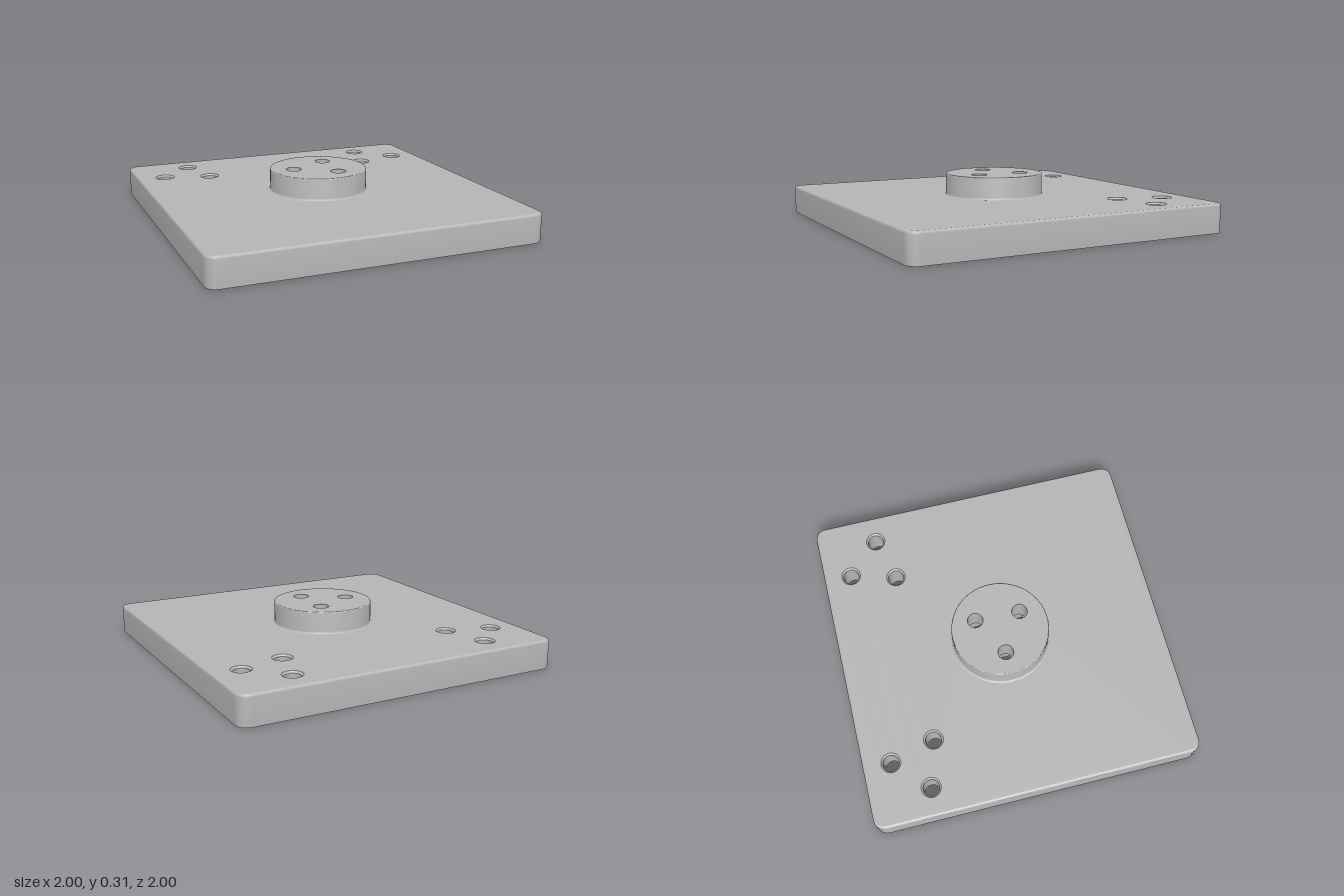
import * as THREE from 'three';
import { toCreasedNormals } from 'three/addons/utils/BufferGeometryUtils.js';

const PLATE_TOP = 0.175, HUB_TOP = 0.31, POCKET_TOP = 0.14;
const FILLET = 0.015, HUB_R = 0.3, FLARE = 0.013, HUB_EDGE = 0.006;

// Plan outlines run counterclockwise seen from above, with v = -z.
function circle(u, v, r, n = 28, turn = 0) {
  return Array.from({ length: n }, (_, i) => {
    const a = turn + (i / n) * Math.PI * 2;
    return new THREE.Vector2(u + r * Math.cos(a), v + r * Math.sin(a));
  });
}

function roundedSquare(inset) {
  const pts = [], r = 0.065 - inset, c = 0.935, steps = 8;
  [[1, 1], [-1, 1], [-1, -1], [1, -1]].forEach(([su, sv], k) => {
    for (let i = 0; i <= steps; i++) {
      const a = (k + i / steps) * Math.PI / 2;
      pts.push(new THREE.Vector2(su * c + r * Math.cos(a), sv * c + r * Math.sin(a)));
    }
  });
  return pts;
}

// Wall through [height, outline] rings: upward faces out, downward faces in.
function wall(rings) {
  const pos = [], idx = [], n = rings[0][1].length;
  for (const [y, pts] of rings) for (const p of pts) pos.push(p.x, y, -p.y);
  for (let i = 0; i < rings.length - 1; i++) {
    for (let j = 0; j < n; j++) {
      const a = i * n + j, b = i * n + (j + 1) % n;
      idx.push(a, b, b + n, a, b + n, a + n);
    }
  }
  const g = new THREE.BufferGeometry();
  g.setAttribute('position', new THREE.Float32BufferAttribute(pos, 3));
  g.setIndex(idx);
  return toCreasedNormals(g, 0.5);
}

// Flat face with openings, facing up or down.
function cap(y, outline, openings, down = false) {
  const shape = new THREE.Shape(outline);
  shape.holes = openings.map((o) => new THREE.Path(o));
  const g = new THREE.ShapeGeometry(shape).rotateX(-Math.PI / 2).translate(0, y, 0);
  if (down) {
    g.index.array.reverse();
    g.computeVertexNormals();
  }
  return g;
}

export function createModel() {
  const model = new THREE.Group();
  const grey = new THREE.MeshStandardMaterial({ color: 0xb6b6b6 });
  grey.name = 'light grey';

  const plate = new THREE.Group(), hub = new THREE.Group();
  plate.name = 'basePlate';
  hub.name = 'hub';
  model.add(plate, hub);
  const add = (parent, name, geometry) => {
    const mesh = new THREE.Mesh(geometry, grey);
    mesh.name = name;
    parent.add(mesh);
  };

  // Two mirrored groups of three bolt holes near the back corners
  const bolts = [];
  for (const s of [-1, 1]) {
    for (const [u, v] of [[0.626, 0.83], [0.828, 0.628], [0.549, 0.552]]) bolts.push([s * u, v]);
  }
  // Three through holes in the hub, with hexagonal nut pockets below
  const screws = [0, 1, 2].map((i) => {
    const a = THREE.MathUtils.degToRad(178.4 + i * 120);
    return [0.161 * Math.cos(a), 0.161 * Math.sin(a)];
  });
  const hex = ([u, v]) => circle(u, v, 0.085, 6, THREE.MathUtils.degToRad(30));
  const bore = ([u, v]) => circle(u, v, 0.048);

  // Plate sides with a rounded top edge
  const sides = [[0, roundedSquare(0)]];
  for (let i = 0; i <= 4; i++) {
    const a = (i / 4) * Math.PI / 2;
    sides.push([PLATE_TOP - FILLET + FILLET * Math.sin(a), roundedSquare(FILLET * (1 - Math.cos(a)))]);
  }
  add(plate, 'plateSides', wall(sides));
  add(plate, 'plateTop', cap(PLATE_TOP, roundedSquare(FILLET),
    [...bolts.map(([u, v]) => circle(u, v, 0.06)), circle(0, 0, HUB_R + FLARE, 64)]));
  add(plate, 'plateBottom', cap(0, roundedSquare(0),
    [...bolts.map(([u, v]) => circle(u, v, 0.049)), ...screws.map(hex)], true));

  // Countersunk bolt holes
  for (const [u, v] of bolts) {
    add(plate, 'boltHole', wall([
      [PLATE_TOP, circle(u, v, 0.06)],
      [PLATE_TOP - 0.011, circle(u, v, 0.049)],
      [0, circle(u, v, 0.049)],
    ]));
  }

  // Hub wall: concave flare at the foot, small rounded rim on top
  const hubRings = [];
  for (let i = 0; i <= 4; i++) {
    const a = (i / 4) * Math.PI / 2;
    hubRings.push([PLATE_TOP + FLARE * (1 - Math.cos(a)), circle(0, 0, HUB_R + FLARE * (1 - Math.sin(a)), 64)]);
  }
  for (let i = 0; i <= 4; i++) {
    const a = (i / 4) * Math.PI / 2;
    hubRings.push([HUB_TOP - HUB_EDGE * (1 - Math.sin(a)), circle(0, 0, HUB_R - HUB_EDGE * (1 - Math.cos(a)), 64)]);
  }
  add(hub, 'hubWall', wall(hubRings));
  add(hub, 'hubTop', cap(HUB_TOP, circle(0, 0, HUB_R - HUB_EDGE, 64), screws.map(bore)));

  // Screw bores and nut pockets
  for (const s of screws) {
    add(hub, 'screwBore', wall([[HUB_TOP, bore(s)], [POCKET_TOP, bore(s)]]));
    add(hub, 'nutPocketCeiling', cap(POCKET_TOP, hex(s), [bore(s)], true));
    add(hub, 'nutPocketWall', wall([[POCKET_TOP, hex(s)], [0, hex(s)]]));
  }
  return model;
}
